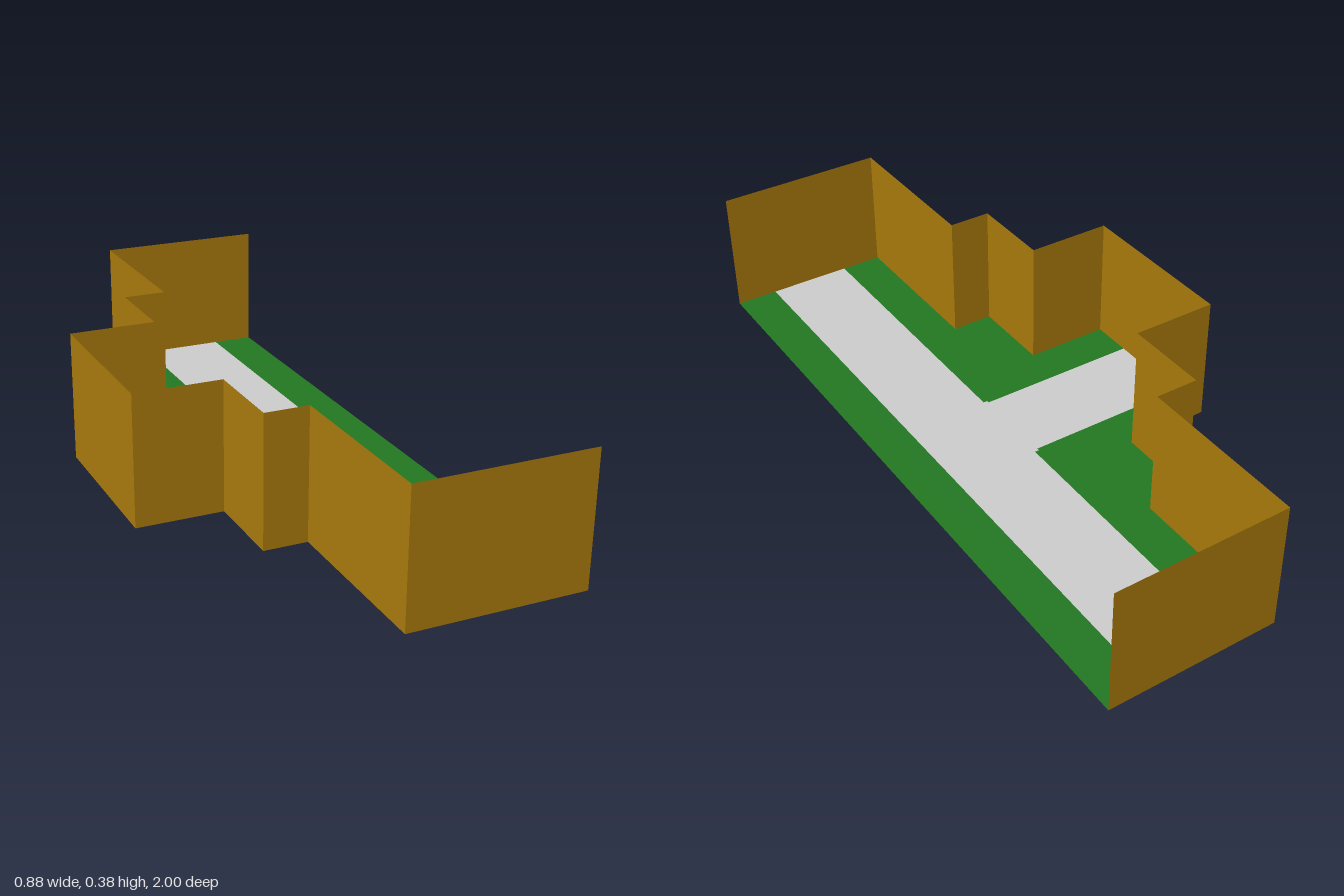
import * as THREE from 'three';

const WALL_HEIGHT = 0.375;
const EAST = 0.4375; // open side
const ROAD_WEST = 0.0625, ROAD_EAST = 0.3125;

function material(name, color) {
  const m = new THREE.MeshStandardMaterial({ color, side: THREE.DoubleSide });
  m.name = name;
  return m;
}

export function createModel() {
  const model = new THREE.Group();
  model.name = 'walledJunction';
  const grass = material('grass green', 0x227722);
  const paving = material('paving grey', 0xcacaca);
  const wood = material('wall brown', 0xa7780c);

  // Flat floor piece from [x, z] corners, facing up
  function floor(name, corners, mat) {
    const shape = new THREE.Shape(corners.map(([x, z]) => new THREE.Vector2(x, -z)));
    const mesh = new THREE.Mesh(new THREE.ShapeGeometry(shape).rotateX(-Math.PI / 2), mat);
    mesh.name = name;
    model.add(mesh);
  }

  // Road with a side branch; the inner corners have a tiny notch
  floor('road', [
    [ROAD_WEST, -1], [ROAD_EAST, -1], [ROAD_EAST, 1], [ROAD_WEST, 1],
    [ROAD_WEST, 0.135], [0.05, 0.135], [0.05, 0.127], [-0.4375, 0.127],
    [-0.4375, -0.127], [0.05, -0.127], [0.05, -0.135], [ROAD_WEST, -0.135],
  ], paving);

  // Grass beside the branch, mirrored front and back
  for (const s of [1, -1]) {
    floor(s > 0 ? 'frontGrass' : 'backGrass', [
      [-0.4375, 0.127], [0.05, 0.127], [0.05, 0.135], [ROAD_WEST, 0.135],
      [ROAD_WEST, 1], [-0.0625, 1], [-0.0625, 0.5], [-0.1875, 0.5],
      [-0.1875, 0.25], [-0.4375, 0.25],
    ].map(([x, z]) => [x, s * z]), grass);
  }

  // Grass strip along the open side
  floor('sideGrass', [[ROAD_EAST, -1], [EAST, -1], [EAST, 1], [ROAD_EAST, 1]], grass);

  // Thin stepped wall around every side but the open one
  const half = [[EAST, 1], [-0.0625, 1], [-0.0625, 0.5], [-0.1875, 0.5], [-0.1875, 0.25], [-0.4375, 0.25]];
  const path = [...half, ...half.map(([x, z]) => [x, -z]).reverse()];
  const walls = new THREE.Group();
  walls.name = 'walls';
  for (let i = 0; i < path.length - 1; i++) {
    const [x0, z0] = path[i], [x1, z1] = path[i + 1];
    const panel = new THREE.Mesh(
      new THREE.PlaneGeometry(Math.hypot(x1 - x0, z1 - z0), WALL_HEIGHT), wood);
    panel.name = 'wallPanel' + (i + 1);
    panel.position.set((x0 + x1) / 2, WALL_HEIGHT / 2, (z0 + z1) / 2);
    panel.rotation.y = Math.atan2(z1 - z0, x0 - x1); // outward face
    walls.add(panel);
  }
  model.add(walls);
  return model;
}
